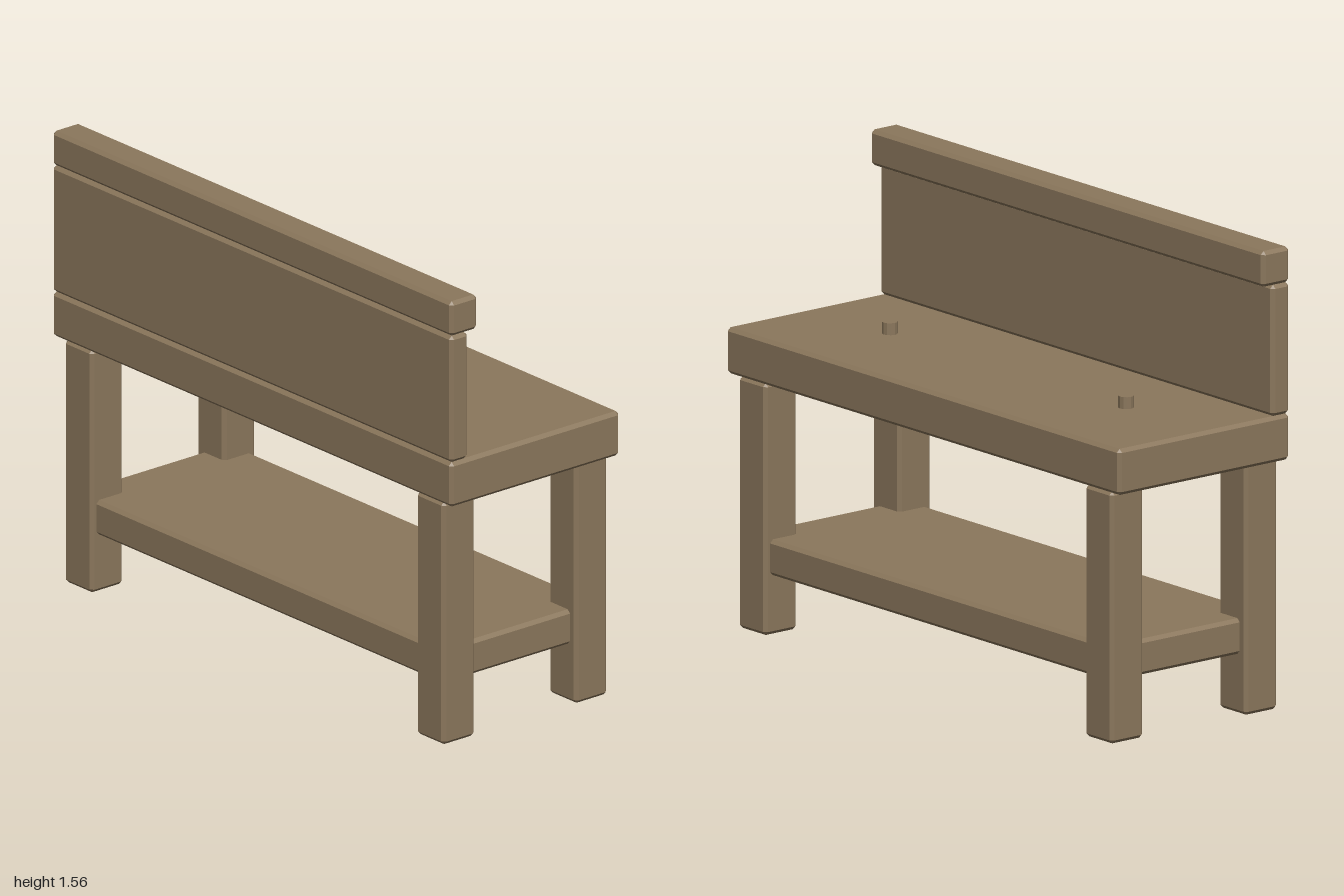
import * as THREE from 'three';
import { ConvexGeometry } from 'three/addons/geometries/ConvexGeometry.js';

const CHAMFER = 0.012;

// Box with every edge cut flat: each corner becomes three points
function chamferedBox(w, h, d, c = CHAMFER) {
  const points = [];
  for (const sx of [-1, 1]) for (const sy of [-1, 1]) for (const sz of [-1, 1]) {
    for (let axis = 0; axis < 3; axis++) {
      const half = [w / 2 - c, h / 2 - c, d / 2 - c];
      half[axis] += c;
      points.push(new THREE.Vector3(sx * half[0], sy * half[1], sz * half[2]));
    }
  }
  return new ConvexGeometry(points);
}

export function createModel() {
  const bench = new THREE.Group();
  bench.name = 'workbench';
  const wood = new THREE.MeshStandardMaterial({ color: 0x8b775c });
  wood.name = 'wood';

  // Adds a beam from its x, y and z ranges
  function beam(name, [x0, x1], [y0, y1], [z0, z1]) {
    const mesh = new THREE.Mesh(chamferedBox(x1 - x0, y1 - y0, z1 - z0), wood);
    mesh.position.set((x0 + x1) / 2, (y0 + y1) / 2, (z0 + z1) / 2);
    mesh.name = name;
    bench.add(mesh);
    return mesh;
  }

  // Worktop, upright panel and cap rail
  beam('worktop', [-1, 1], [0.845, 1], [-0.36, 0.36]);
  beam('uprightPanel', [-1, 1], [1, 1.44], [0.285, 0.36]);
  beam('capRail', [-1, 1], [1.44, 1.56], [0.245, 0.36]);

  // Lower shelf, let into the legs
  beam('lowerShelf', [-0.92, 0.92], [0.2, 0.32], [-0.33, 0.33]);

  // Four legs
  for (const sx of [-1, 1]) for (const sz of [-1, 1]) {
    const name = (sz > 0 ? 'front' : 'back') + (sx > 0 ? 'Left' : 'Right') + 'Leg';
    const leg = beam(name, [0.81, 0.95], [0, 0.845], [0.213, 0.35]);
    leg.position.x *= sx;
    leg.position.z *= sz;
  }

  // Two bench pegs standing on the worktop
  for (const sx of [-1, 1]) {
    const peg = new THREE.Mesh(
      new THREE.CylinderGeometry(0.026, 0.026, 0.06, 12).toNonIndexed(), wood);
    peg.geometry.computeVertexNormals();
    peg.position.set(sx * 0.6, 1.01, 0);
    peg.name = sx > 0 ? 'leftPeg' : 'rightPeg';
    bench.add(peg);
  }

  return bench;
}
